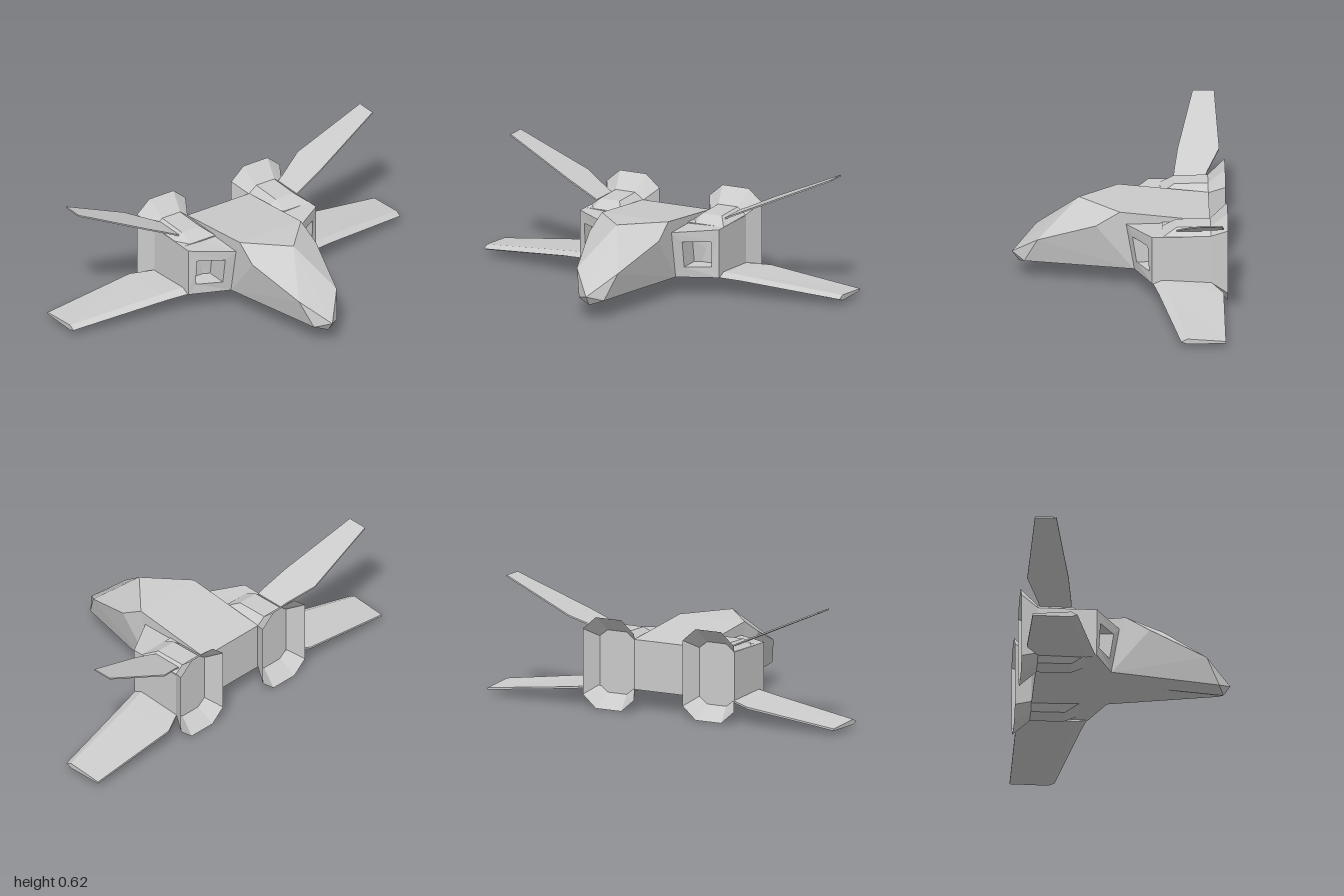
import * as THREE from 'three';

const material = new THREE.MeshStandardMaterial({ color: 0xcccccc, flatShading: true });
const openMaterial = new THREE.MeshStandardMaterial({ color: 0xcccccc, flatShading: true, side: THREE.DoubleSide });

// Flat polygons to a mesh; side = -1 mirrors across x and keeps faces outward
function facesToMesh(name, faces, side = 1, mat = material) {
  const pos = [];
  for (const face of faces) {
    const f = face.map(([x, y, z]) => [x * side, y, z]);
    if (side < 0) f.reverse();
    for (let i = 1; i < f.length - 1; i++) pos.push(...f[0], ...f[i], ...f[i + 1]);
  }
  const geo = new THREE.BufferGeometry();
  geo.setAttribute('position', new THREE.Float32BufferAttribute(pos, 3));
  geo.computeVertexNormals();
  const mesh = new THREE.Mesh(geo, mat);
  mesh.name = name;
  return mesh;
}

// Faces joining successive rings of equal point count
function loft(rings, capped = true) {
  const faces = [];
  for (let r = 0; r < rings.length - 1; r++) {
    const a = rings[r], b = rings[r + 1], n = a.length;
    for (let i = 0; i < n; i++) {
      const j = (i + 1) % n;
      faces.push([a[i], b[i], b[j], a[j]]);
    }
  }
  if (capped) faces.push(rings[0], [...rings[rings.length - 1]].reverse());
  return faces;
}

// Chamfered rectangle in the xy plane
function octagon(z, x0, x1, y0, y1, cx, cy) {
  return [
    [x1, y0 + cy, z], [x1, y1 - cy, z], [x1 - cx, y1, z], [x0 + cx, y1, z],
    [x0, y1 - cy, z], [x0, y0 + cy, z], [x0 + cx, y0, z], [x1 - cx, y0, z],
  ];
}

// Half of the faceted fuselage, from the centre plane outward
function fuselageFaces() {
  const tip = [0, 0.125, 0.535], chin = [0, 0.075, 0.5], peak = [0, 0.415, 0.2];
  const cheek = [0.115, 0.23, 0.41], shoulder = [0.195, 0.335, 0.12], roof = [0.187, 0.405, 0];
  const jaw = [0.07, 0.1, 0.475], belly = [0.19, 0.1, -0.07];
  const roofMid = [0, 0.405, 0], keel = [0, 0.1, 0.2], bellyMid = [0, 0.1, -0.07];
  const tailTop = [0.19, 0.355, -0.45], tailLow = [0.19, 0.1, -0.45];
  const tailTopMid = [0, 0.355, -0.45], tailLowMid = [0, 0.1, -0.45];
  return [
    [peak, tip, cheek], [peak, cheek, shoulder], [peak, shoulder, roof],
    [peak, roof, roofMid], [roofMid, roof, tailTop, tailTopMid],
    [cheek, tip, jaw], [tip, chin, jaw],
    [shoulder, cheek, belly], [cheek, jaw, belly], [roof, shoulder, belly],
    [roof, belly, tailLow, tailTop],
    [jaw, chin, keel], [jaw, keel, belly], [belly, keel, bellyMid],
    [belly, bellyMid, tailLowMid, tailLow], [tailTop, tailLow, tailLowMid, tailTopMid],
  ];
}

// Engine box with a raked front and a recessed air intake
function engineFaces() {
  const hole = (dz) => [
    [0.355, 0.155, -0.142 + dz], [0.355, 0.29, -0.135 + dz],
    [0.232, 0.29, -0.062 + dz], [0.232, 0.155, -0.083 + dz],
  ];
  return loft([
    hole(-0.11),
    hole(0),
    [[0.39, 0.1, -0.157], [0.39, 0.35, -0.155], [0.185, 0.34, -0.03], [0.185, 0.1, -0.07]],
    [[0.39, 0.1, -0.45], [0.39, 0.35, -0.45], [0.185, 0.35, -0.45], [0.185, 0.1, -0.45]],
  ]);
}

// Wing cross-section: leading edge, top ridge, trailing edge, bottom ridge
const wingSection = (x, zLead, yLead, zRidge, yTop, yLow, zTrail, yTrail) => [
  [x, yLead, zLead], [x, yTop, zRidge], [x, yTrail + 0.005, zTrail],
  [x, yTrail - 0.005, zTrail], [x, yLow, zRidge],
];

// Thin fin cross-section
const finSection = (x, y, z0, z1, t = 0.004) => [
  [x, y - t, z0], [x, y + t, z0], [x, y + t, z1], [x, y - t, z1],
];

export function createModel() {
  const model = new THREE.Group();
  model.name = 'spacecraft';

  const fuselage = new THREE.Group();
  fuselage.name = 'fuselage';
  model.add(fuselage);

  const cowlEnd = octagon(-0.45, 0.188, 0.388, 0.07, 0.388, 0.045, 0.035);
  const cowl = loft([
    octagon(-0.21, 0.188, 0.388, 0.1, 0.35, 0.045, 0),
    octagon(-0.28, 0.188, 0.388, 0.07, 0.385, 0.045, 0.035),
    cowlEnd,
  ]);
  const nozzle = loft([cowlEnd, octagon(-0.535, 0.14, 0.437, 0, 0.465, 0.075, 0.065)], false);
  const wing = loft([
    wingSection(0.38, -0.16, 0.1, -0.205, 0.12, 0.09, -0.45, 0.1),
    wingSection(0.5, -0.187, 0.09, -0.23, 0.106, 0.076, -0.512, 0.088),
    wingSection(1, -0.288, 0.034, -0.32, 0.05, 0.022, -0.512, 0.03),
  ]);
  const fin = loft([
    finSection(0.36, 0.373, -0.28, -0.44),
    finSection(0.39, 0.387, -0.283, -0.45),
    finSection(0.53, 0.45, -0.304, -0.512),
    finSection(0.9, 0.613, -0.387, -0.495),
  ]);

  // Both halves
  for (const [side, label] of [[1, 'left'], [-1, 'right']]) {
    fuselage.add(facesToMesh(label + 'FuselageHalf', fuselageFaces(), side));
    model.add(
      facesToMesh(label + 'Engine', engineFaces(), side),
      facesToMesh(label + 'EngineCowl', cowl, side),
      facesToMesh(label + 'Nozzle', nozzle, side, openMaterial),
      facesToMesh(label + 'Wing', wing, side),
      facesToMesh(label + 'Fin', fin, side),
    );
  }
  return model;
}
